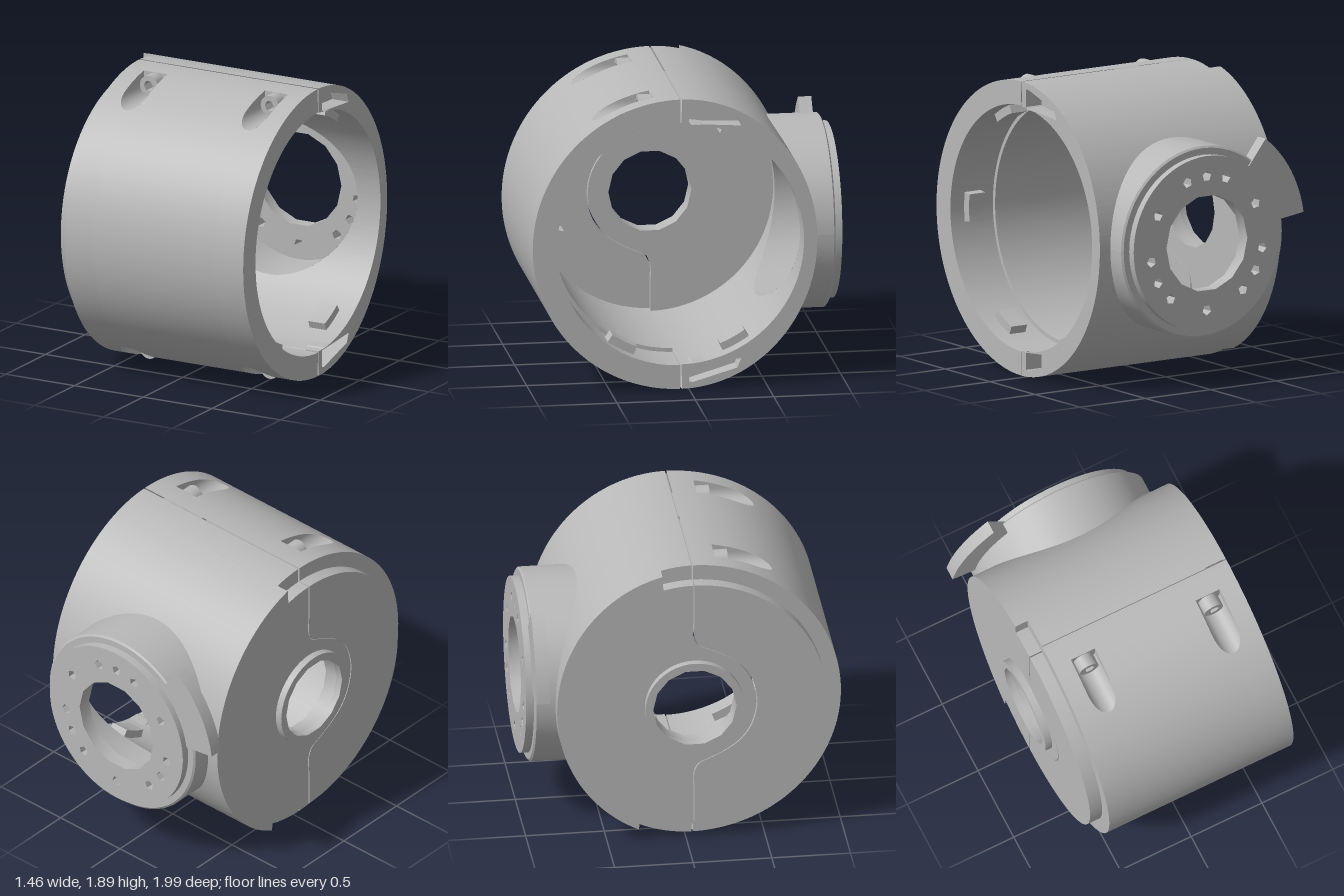
import * as THREE from 'three';
import { toCreasedNormals } from 'three/addons/utils/BufferGeometryUtils.js';

const { sin, cos, sqrt, asin, acos, PI, max } = Math;
const R = 0.945, RB = 0.87, RI = 0.785;          // outer radius, rear depth, bore
const X0 = -0.66, X1 = 0.725, XS = -0.575;       // end wall, open end, shoulder
const PX = 0.03, PO = 0.615, PI_R = 0.53;        // side port centre and radii
const notchA = asin(0.2 / RB), notchB = PI - asin(0.35 / RB);
const EPS = 1e-4, GAP = 0.006;
const range = (n, a, b) => Array.from({ length: n + 1 }, (_, i) => a + (b - a) * i / n);

export function createModel() {
  const root = new THREE.Group();
  root.name = 'jointHousing';
  const body = new THREE.Group();
  body.name = 'housing';
  body.position.set(0, 0.945, 0.05);
  root.add(body);
  const grey = new THREE.MeshStandardMaterial({ color: 0xb8b8b8, side: THREE.DoubleSide });
  grey.name = 'grey';

  const add = (name, geo, parent = body) => {
    const m = new THREE.Mesh(geo, grey);
    m.name = name;
    parent.add(m);
    return m;
  };
  // Surface through rows of points
  const loft = rows => {
    const n = rows[0].length, index = [];
    for (let i = 0; i < rows.length - 1; i++)
      for (let j = 0; j < n - 1; j++) {
        const a = i * n + j, b = a + n;
        index.push(a, b, a + 1, b, b + 1, a + 1);
      }
    const g = new THREE.BufferGeometry();
    g.setAttribute('position', new THREE.Float32BufferAttribute(rows.flat(2), 3));
    g.setIndex(index);
    g.computeVertexNormals();
    return g;
  };
  const polyShape = pts => new THREE.Shape(pts.map(p => new THREE.Vector2(p[0], p[1])));
  const circle = (r, n, cx = 0, cy = 0, start = 0) =>
    range(n, 0, 2 * PI).slice(0, n).map(t => [cx + r * cos(t + start), cy + r * sin(t + start)]);
  const sector = (r0, r1, a, b, n = 12) => polyShape([
    ...range(n, a, b).map(t => [r1 * cos(t), r1 * sin(t)]),
    ...range(n, b, a).map(t => [r0 * cos(t), r0 * sin(t)])]);
  const extrude = (shape, depth) =>
    toCreasedNormals(new THREE.ExtrudeGeometry(shape, { depth, bevelEnabled: false }), 0.5);
  // Plates in the (-z, y) plane, placed along x
  const plateX = (shape, xa, xb) => extrude(shape, xb - xa).rotateY(PI / 2).translate(xa, 0, 0);
  const faceX = (shape, x) => new THREE.ShapeGeometry(shape).rotateY(PI / 2).translate(x, 0, 0);
  const halfRing = (side, ro, roSide, ri) => {
    const ts = range(64, GAP, PI - GAP);
    return polyShape([...ts.map(t => [side * roSide * sin(t), ro * cos(t)]),
      ...ts.reverse().map(t => [side * ri * sin(t), ri * cos(t)])]);
  };
  // Curved wall made of x spans that vary with the angle from the top
  const panel = (name, angles, ry, rz, spans) => {
    const ts = [...angles].sort((a, b) => a - b);
    spans(1).forEach((_, k) => add(name, loft(ts.map(t =>
      spans(t)[k].map(x => [x, ry * cos(t), rz * sin(t)])))));
  };
  const base = range(96, GAP, PI - GAP);

  // Front shell with four screw pockets cut into its outside
  const pocketX = [-0.365, 0.515], pr = 0.085, py = 0.865, pz = 0.16;
  const pocketStart = asin(pz / R);
  const pocketWidth = t => {
    const y = Math.abs(R * cos(t));
    if (R * sin(t) < pz) return 0;
    return y > py ? pr : sqrt(max(0, pr * pr - (py - y) ** 2));
  };
  const cuts = [pocketStart - EPS, pocketStart + EPS,
    ...range(12, 0, PI / 2).map(a => acos((py - pr * sin(a)) / R))];
  panel('frontShell', [...base, ...cuts, ...cuts.map(t => PI - t)], R, R, t => {
    const w = pocketWidth(t), [a, b] = pocketX;
    return [[XS, a - w], [a + w, b - w], [b + w, X1]];
  });
  panel('frontBoreRim', base, 0.79, 0.79, () => [[0.4, X1]]);
  panel('frontBore', base, 0.765, 0.765, () => [[-0.58, 0.4]]);
  add('boreStep', faceX(halfRing(-1, 0.79, 0.79, 0.765), 0.4));
  add('frontRim', faceX(halfRing(-1, R, R, 0.79), X1));
  add('frontShoulder', faceX(halfRing(-1, R, R, 0.765), XS));

  // Screw pockets and socket screws, mirrored top to bottom
  const pocketTop = sqrt(R * R - pz * pz);
  const profile = [
    ...range(5, pocketTop, py).map(y => [-pr, y]),
    ...range(16, PI, 2 * PI).map(a => [pr * cos(a), py + pr * sin(a)]).slice(1, -1),
    ...range(5, py, pocketTop).map(y => [pr, y])];
  for (const side of [1, -1]) for (const x of pocketX) {
    const g = new THREE.Group();
    g.name = 'screwPocket';
    g.position.x = x;
    g.scale.y = side;
    body.add(g);
    add('pocketWall', loft(profile.map(([dx, y]) =>
      [[dx, y, pz], [dx, y, max(pz, sqrt(R * R - y * y))]])), g);
    add('pocketSeat', new THREE.ShapeGeometry(polyShape(profile)).translate(0, 0, pz), g);
    const head = polyShape(circle(0.066, 24));
    head.holes.push(polyShape(circle(0.036, 6)));
    add('screwHead', extrude(head, 0.085).translate(0, py, pz + 0.002), g);
  }

  // Rear shell with an opening for the side port and a stepped end
  const startX = t => (t < notchA || t > notchB ? XS : X0);
  const portRows = (r, ry) => range(40, -PI / 2, PI / 2).map(a => acos(r * sin(a) / ry));
  const opening = (t, r, ry) => sqrt(max(0, r * r - (ry * cos(t)) ** 2));
  const steps = [notchA - EPS, notchA + EPS, notchB - EPS, notchB + EPS];
  panel('rearShell', [...base, ...steps, ...portRows(0.605, R)], R, -RB, t => {
    const w = opening(t, 0.605, R);
    return [[startX(t), PX - w], [PX + w, X1]];
  });
  panel('rearBore', [...base, ...portRows(PI_R, RI)], RI, -RI, t => {
    const w = opening(t, PI_R, RI);
    return [[-0.58, PX - w], [PX + w, X1]];
  });
  add('rearShoulder', faceX(halfRing(1, R, RB, RI), XS));

  // Rear rim with two recessed slots
  const rearRim = halfRing(1, R, RB, RI);
  const slot = [[0.05, 0.9], [0.07, 0.905], [0.36, 0.82], [0.385, 0.76], [0.07, 0.775], [0.05, 0.79]];
  for (const s of [1, -1]) {
    const pts = slot.map(([u, v]) => [u, v * s]);
    rearRim.holes.push(polyShape(pts));
    add('slotWall', loft([...pts, pts[0]].map(([u, v]) =>
      [[X1, v, -u], [X1 - 0.12, v, -u]])).toNonIndexed()).geometry.computeVertexNormals();
    add('slotFloor', faceX(polyShape(pts), X1 - 0.12));
    // Parting line between the two shells
    add('seam', new THREE.PlaneGeometry(X1 - XS, 0.15).translate((X1 + XS) / 2, s * 0.866, 0));
  }
  add('rearRim', faceX(rearRim, X1));

  // End wall, split along a curved seam
  const halfSeam = [[0, 0.48], [-0.03, 0.42], [-0.1, 0.385], [-0.2, 0.335], [-0.3, 0.26], [-0.37, 0.15]];
  const seamKeys = [[0, 0.845], [0, 0.6], ...halfSeam, [-0.4, 0],
    ...halfSeam.map(([u, v]) => [u, -v]).reverse(), [0, -0.6], [0, -0.845]];
  const seam = new THREE.CatmullRomCurve3(seamKeys.map(([u, v]) => new THREE.Vector3(u, v, 0)))
    .getPoints(80).map(p => [p.x, p.y]);
  const edge = range(64, 0.01, PI - 0.01);
  add('frontEndWall', plateX(polyShape([
    ...seam.map(([u, v]) => [u - 0.004, v]),
    ...edge.map(t => [-0.845 * sin(t), 0.845 * cos(t)]).reverse()]), X0, -0.57));
  const rearEdge = [...edge, ...steps].sort((a, b) => a - b).map(t =>
    startX(t) === XS ? [0.845 * sin(t), 0.845 * cos(t)] : [RB * sin(t), R * cos(t)]);
  const rearWall = polyShape([...rearEdge, ...seam.map(([u, v]) => [u + 0.004, v]).reverse()]);
  rearWall.holes.push(polyShape(circle(0.265, 14)));
  add('rearEndWall', plateX(rearWall, X0, -0.57));
  const boss = polyShape(circle(0.313, 48));
  boss.holes.push(polyShape(circle(0.265, 14)));
  add('endBoss', plateX(boss, -0.705, X0));

  // Locating blocks inside the open end
  for (const deg of [62, 118, 180, 242, 298]) {
    const a = deg * PI / 180;
    add('locatingBlock', plateX(sector(0.735, 0.797, a - 0.12, a + 0.12, 6), 0.5, 0.62));
  }

  // Side port: its base follows the curve of the shell
  const turn = range(72, 0, 2 * PI);
  const ringAt = (r, z) => turn.map(t => [PX + r * cos(t), r * sin(t), z(r * sin(t))]);
  const shellZ = y => -RB * sqrt(1 - (y / R) ** 2) + 0.015;
  add('portWall', loft([ringAt(PO, shellZ), ringAt(PO, () => -0.99)]));
  add('portEdge', loft([ringAt(PO, () => -0.99), ringAt(0.602, () => -1)]));
  add('portShoulder', loft([ringAt(0.602, () => -1), ringAt(PI_R, () => -1)]));
  add('portBore', loft([ringAt(PI_R, y => -sqrt(RI * RI - y * y)), ringAt(PI_R, () => -0.98)]));

  // Port face plate with a centre hole and twelve bolt holes
  const plate = polyShape(circle(0.56, 64));
  plate.holes.push(polyShape(circle(0.31, 14)));
  for (const mid of [90, 210, 330])
    for (const off of [-20, 0, 20, 60]) {
      const a = (mid + off) * PI / 180;
      plate.holes.push(polyShape(circle(0.034, 5, 0.43 * cos(a), 0.43 * sin(a), a)));
    }
  add('portPlate', extrude(plate, 0.09).translate(PX, 0, -1.05));

  // Curved stop tab on the port
  add('portTab', extrude(sector(0.555, 0.775, 128 * PI / 180, 172 * PI / 180), 0.085)
    .translate(PX, 0, -1.01));
  return root;
}
